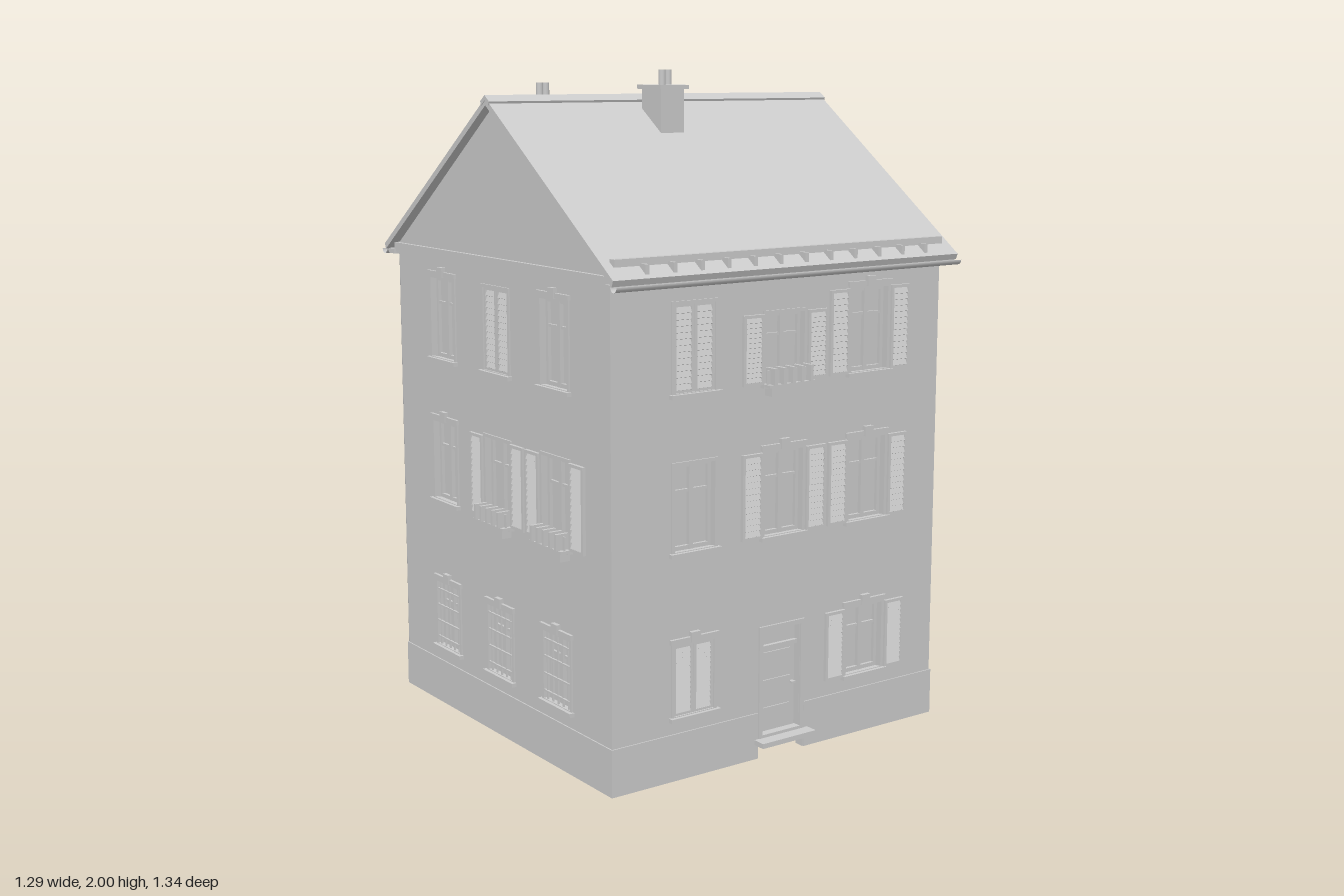
import * as THREE from 'three';

const mat = new THREE.MeshStandardMaterial({ color: 0xcccccc, side: THREE.DoubleSide });
const W = 0.6;                       // half width of the house
const RIDGE = 1.92, SLOPE = 0.715;   // roof line: y = RIDGE - SLOPE * |z|
const COLS = [-0.32, 0, 0.32];
const ROWS = [[1.12, 1.37], [0.67, 0.92], [0.19, 0.4]];

// Window kinds per side, seen from outside, left to right, top row first
const SIDES = [
  { name: 'frontSide', turn: 0, rows: ['closed', 'open box', 'open key', 'plain', 'open key', 'open key', 'closed key', 'door', 'open key'] },
  { name: 'leftSide', turn: Math.PI / 2, gable: true, rows: ['open', 'plain key', 'closed box', 'open box', 'open key', 'open key', 'bars key', 'bars key', 'bars key'] },
  { name: 'backSide', turn: Math.PI, rows: ['plain', 'plain', 'open box', 'open key', 'open box', 'closed', 'bars', 'open key', 'bars key'] },
  { name: 'rightSide', turn: -Math.PI / 2, gable: true, rows: ['plain key', 'closed', 'plain key', 'plain key', 'open box', 'open box', 'bars key', 'bars key', 'bars key'] },
];

function add(parent, name, geometry) {
  const m = new THREE.Mesh(geometry, mat);
  m.name = name;
  parent.add(m);
  return m;
}

// Box given by its extents
function box(parent, name, x0, x1, y0, y1, z0, z1) {
  const m = add(parent, name, new THREE.BoxGeometry(x1 - x0, y1 - y0, z1 - z0));
  m.position.set((x0 + x1) / 2, (y0 + y1) / 2, (z0 + z1) / 2);
  return m;
}

function group(parent, name) {
  const g = new THREE.Group();
  g.name = name;
  parent.add(g);
  return g;
}

// Four bars around an opening
function surround(parent, name, w, y0, y1, t, z0, z1) {
  box(parent, name, -w, w, y1 - t, y1, z0, z1);
  box(parent, name, -w, w, y0, y0 + t, z0, z1);
  for (const s of [-1, 1]) box(parent, name, s * (w - t / 2) - t / 2, s * (w - t / 2) + t / 2, y0 + t, y1 - t, z0, z1);
}

// Louvred leaf centred on x = cx
function shutter(parent, cx, w, y0, y1, z) {
  const g = group(parent, 'shutter');
  g.position.x = cx;
  surround(g, 'shutterFrame', w / 2, y0, y1, 0.009, z, z + 0.01);
  const n = 13, h = y1 - y0 - 0.018;
  for (let i = 0; i < n; i++) {
    const slat = add(g, 'slat', new THREE.BoxGeometry(w - 0.018, h / n * 1.1, 0.003));
    slat.position.set(0, y0 + 0.009 + h * (i + 0.5) / n, z + 0.005);
    slat.rotation.x = -0.4;
  }
}

function flowerBox(parent, y) {
  const g = group(parent, 'flowerBox');
  box(g, 'planter', -0.07, 0.07, y - 0.035, y - 0.005, W, W + 0.032);
  box(g, 'planterRim', -0.085, 0.085, y - 0.008, y, W, W + 0.04);
  for (let i = 0; i < 5; i++) {
    const x = -0.066 + i * 0.033;
    box(g, 'plant', x - 0.005, x + 0.005, y, y + 0.047, W + 0.004, W + 0.046);
  }
  box(g, 'plantRow', -0.083, 0.083, y, y + 0.04, W + 0.022, W + 0.025);
}

function windowUnit(parent, kind, cx, y0, y1) {
  const g = group(parent, 'window');
  g.position.x = cx;
  box(g, 'pane', -0.072, 0.072, y0, y1, W - 0.03, W - 0.026);
  surround(g, 'sash', 0.071, y0, y1, 0.012, W - 0.027, W - 0.016);
  box(g, 'mullion', -0.007, 0.007, y0, y1, W - 0.026, W - 0.014);
  const ty = y0 + (y1 - y0) * 0.68;
  box(g, 'transom', -0.07, 0.07, ty - 0.004, ty + 0.004, W - 0.026, W - 0.018);
  surround(g, 'surround', 0.08, y0 - 0.008, y1 + 0.008, 0.01, W - 0.005, W + 0.005);
  box(g, 'sill', -0.087, 0.087, y0 - 0.012, y0, W - 0.02, W + 0.016);
  if (kind.includes('key')) {
    box(g, 'lintel', -0.085, 0.085, y1 + 0.006, y1 + 0.02, W, W + 0.009);
    box(g, 'keystone', -0.016, 0.016, y1 + 0.004, y1 + 0.034, W, W + 0.013);
  }
  if (kind.includes('open')) for (const s of [-1, 1]) shutter(g, s * 0.118, 0.074, y0 - 0.002, y1, W + 0.001);
  if (kind.includes('closed')) for (const s of [-1, 1]) shutter(g, s * 0.0355, 0.07, y0, y1, W - 0.01);
  if (kind.includes('bars')) {
    for (let i = 0; i < 5; i++) box(g, 'bar', -0.0585 + i * 0.028, -0.0535 + i * 0.028, y0, y1, W - 0.004, W + 0.001);
    for (let i = 0; i < 4; i++) {
      const y = y0 + (y1 - y0) * (i + 0.5) / 4;
      box(g, 'crossBar', -0.072, 0.072, y - 0.0025, y + 0.0025, W - 0.002, W + 0.004);
    }
  }
  if (kind.includes('box')) flowerBox(g, y0);
}

function door(parent) {
  const g = group(parent, 'door');
  box(g, 'doorLeaf', -0.072, 0.072, 0.05, 0.39, W - 0.03, W - 0.024);
  surround(g, 'doorFrame', 0.085, 0.055, 0.4, 0.014, W - 0.02, W + 0.006);
  box(g, 'doorRail', -0.07, 0.07, 0.322, 0.334, W - 0.025, W - 0.012);
  for (const y of [0.075, 0.16, 0.245]) box(g, 'doorPanel', -0.052, 0.052, y, y + 0.065, W - 0.025, W - 0.02);
  box(g, 'doorHandle', 0.05, 0.064, 0.2, 0.206, W - 0.025, W - 0.008);
  box(g, 'doorStep', -0.1, 0.1, 0.045, 0.06, W - 0.03, W + 0.045);
}

function wallSide(parent, { name, turn, gable, rows }) {
  const g = group(parent, name);
  g.rotation.y = turn;
  const hasDoor = rows.includes('door');
  const pts = [[W, 0], [W, 1.46]];
  if (gable) pts.push([0, 1.895]);
  pts.push([-W, 1.46], [-W, 0]);
  if (hasDoor) pts.push([-0.085, 0], [-0.085, 0.05], [-0.07, 0.05], [-0.07, 0.39], [0.07, 0.39], [0.07, 0.05], [0.085, 0.05], [0.085, 0]);
  const shape = new THREE.Shape(pts.map(p => new THREE.Vector2(...p)));
  rows.forEach((kind, i) => {
    if (kind === 'door') return door(g);
    const cx = COLS[i % 3], [y0, top] = ROWS[Math.floor(i / 3)];
    const y1 = i < 3 && kind.includes('box') ? 1.32 : top;
    const a = cx - 0.07, b = cx + 0.07;
    shape.holes.push(new THREE.Path([[a, y0], [a, y1], [b, y1], [b, y0]].map(p => new THREE.Vector2(...p))));
    windowUnit(g, kind, cx, y0, y1);
  });
  const wall = add(g, 'wall', new THREE.ExtrudeGeometry(shape, { depth: 0.03, bevelEnabled: false }));
  wall.position.z = W - 0.03;
  // Plinth, broken at the door, and cornice
  const spans = hasDoor ? [[-W - 0.004, -0.087], [0.087, W + 0.004]] : [[-W - 0.004, W + 0.004]];
  for (const [a, b] of spans) box(g, 'plinth', a, b, 0, 0.14, W - 0.01, W + 0.004);
  box(g, 'cornice', -W - 0.012, W + 0.012, 1.425, 1.46, W - 0.01, W + 0.012);
}

// Chevron section in (z, y), extruded along x
function chevron(parent, name, half, peak, reach, thick) {
  const e = peak - SLOPE * reach;
  const pts = [[0, peak], [reach, e], [reach - thick * 0.4, e - thick], [0, peak - thick * 1.25], [-reach + thick * 0.4, e - thick], [-reach, e]];
  const geo = new THREE.ExtrudeGeometry(new THREE.Shape(pts.map(p => new THREE.Vector2(...p))), { depth: half * 2, bevelEnabled: false });
  geo.translate(0, 0, -half).rotateY(Math.PI / 2);
  add(parent, name, geo);
}

function roof(parent) {
  const g = group(parent, 'roof');
  chevron(g, 'roofSlab', 0.625, RIDGE, 0.652, 0.017);
  chevron(g, 'ridgeCap', 0.627, RIDGE + 0.008, 0.025, 0.012);
  for (const s of [0, Math.PI]) {
    const eave = group(g, 'eave');
    eave.rotation.y = s;
    box(eave, 'soffit', -0.62, 0.62, 1.425, 1.44, W, 0.635);
    const gutter = add(eave, 'gutter', new THREE.CylinderGeometry(0.015, 0.015, 1.25, 12, 1, true, Math.PI, Math.PI).rotateZ(Math.PI / 2));
    gutter.position.set(0, 1.437, 0.653);
    box(eave, 'snowRail', -0.595, 0.595, 1.484, 1.505, 0.592, 0.614);
    for (let i = 0; i < 12; i++) {
      const x = -0.506 + i * 0.092;
      box(eave, 'snowBracket', x - 0.006, x + 0.006, 1.46, 1.49, 0.61, 0.64);
    }
  }
}

function chimney(parent, x, z, base, top) {
  const g = group(parent, 'chimney');
  g.position.set(x, 0, z);
  box(g, 'stack', -0.042, 0.042, base, top - 0.01, -0.05, 0.05);
  box(g, 'chimneyCap', -0.052, 0.052, top - 0.012, top, -0.061, 0.061);
  for (const s of [-1, 1]) {
    const pot = add(g, 'flue', new THREE.CylinderGeometry(0.011, 0.011, 0.055, 12, 1, true));
    pot.position.set(0.008 + s * 0.011, top + 0.0175, 0);
  }
}

function downpipe(parent, name, pts) {
  const path = new THREE.CatmullRomCurve3(pts.map(p => new THREE.Vector3(...p)), false, 'catmullrom', 0.1);
  add(parent, name, new THREE.TubeGeometry(path, 48, 0.01, 8));
}

export function createModel() {
  const house = new THREE.Group();
  house.name = 'house';
  for (const side of SIDES) wallSide(house, side);
  roof(house);
  chimney(house, -0.07, 0.098, 1.8, 1.955);
  chimney(house, -0.295, -0.233, 1.69, 1.915);
  downpipe(house, 'leftDownpipe', [[0.612, 1.455, -0.578], [0.612, 1.3, -0.578], [0.612, 0.14, -0.578], [0.618, 0.1, -0.578], [0.636, 0.06, -0.578]]);
  downpipe(house, 'backDownpipe', [[-0.585, 1.43, -0.61], [-0.585, 0.8, -0.61], [-0.585, 0.06, -0.61]]);
  return house;
}
